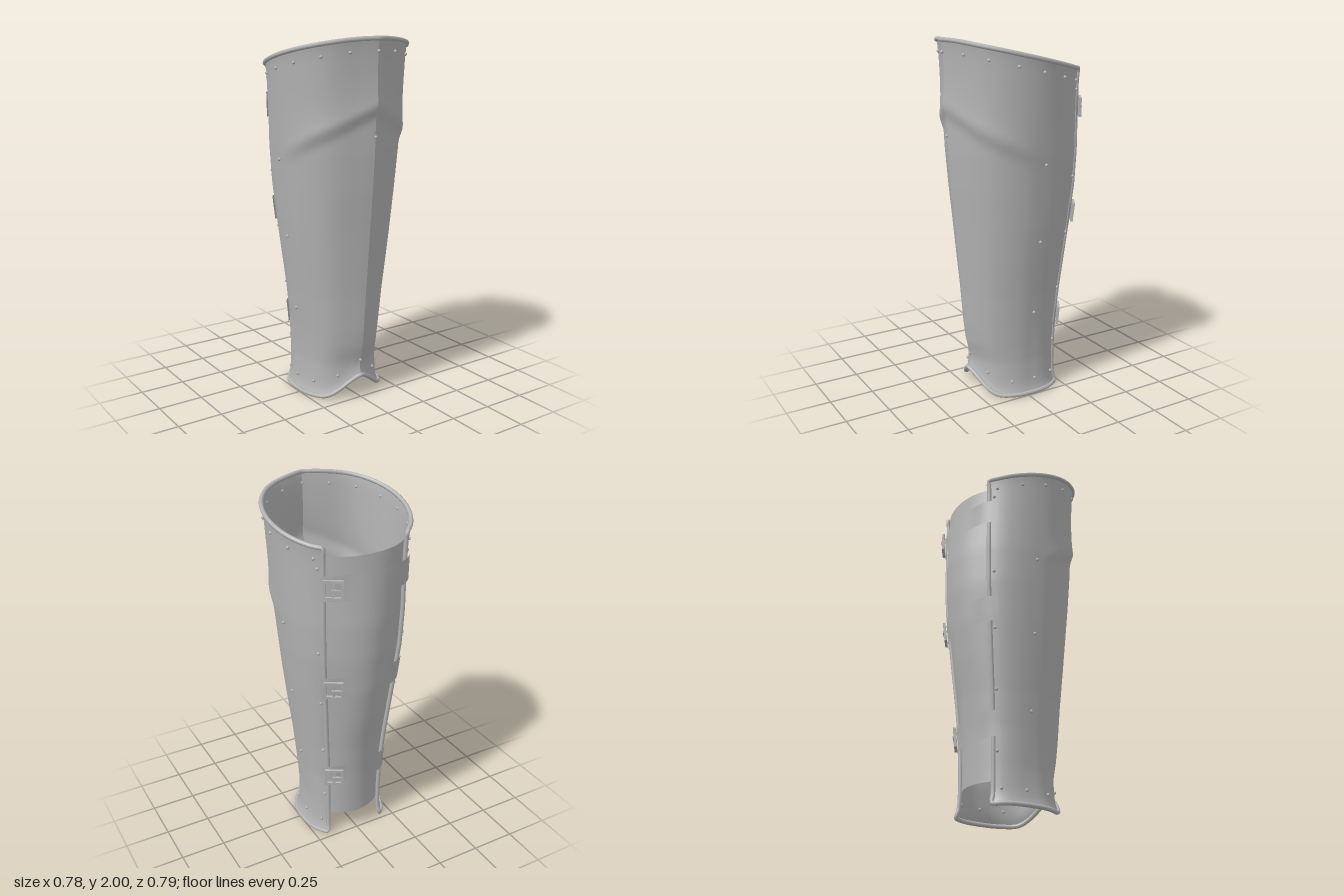
import * as THREE from 'three';

const EDGE = 2.46; // angle from the front where the shell ends at the back
const { lerp, smoothstep } = THREE.MathUtils;

// Height, then radius at front, side, back edge and back plate
const PROFILE = [
  [0.0, 0.235, 0.228, 0.264, 0.25],
  [0.2, 0.236, 0.222, 0.264, 0.255],
  [0.3, 0.262, 0.227, 0.267, 0.26],
  [0.4, 0.275, 0.235, 0.27, 0.266],
  [0.6, 0.29, 0.255, 0.29, 0.29],
  [0.8, 0.308, 0.28, 0.315, 0.328],
  [1.0, 0.325, 0.303, 0.34, 0.36],
  [1.2, 0.345, 0.322, 0.363, 0.38],
  [1.4, 0.36, 0.34, 0.373, 0.386],
  [1.6, 0.366, 0.354, 0.373, 0.372],
  [1.8, 0.372, 0.368, 0.375, 0.356],
  [2.0, 0.383, 0.378, 0.378, 0.35],
];

function radii(y) {
  let i = 0;
  while (i < PROFILE.length - 2 && y > PROFILE[i + 1][0]) i++;
  const a = PROFILE[i], b = PROFILE[i + 1];
  const t = THREE.MathUtils.clamp((y - a[0]) / (b[0] - a[0]), 0, 1);
  return a.slice(1).map((v, k) => lerp(v, b[k + 1], t));
}

// Sloping top edge, and bottom edge arched over the instep
const topY = (a) => 1.828 + 0.16 * (0.385 * Math.cos(a) + 0.295) / 0.68;
const bottomY = (a) => 0.013 + 0.122 * (1 - smoothstep(Math.abs(a), -0.15, 0.95)) / 0.95;

const polar = (a, y, r) => new THREE.Vector3(r * Math.sin(a), y, r * Math.cos(a));

// Shell radius: keel at the front, raised knee fold, flared rims
function shellRadius(angle, y) {
  const a = Math.abs(angle);
  const [front, side, back] = radii(y);
  let r = a < Math.PI / 2
    ? lerp(front, side, smoothstep(a, 0, 1.3))
    : lerp(side, back, smoothstep(a, Math.PI / 2, EDGE));
  const u = a / 0.32;
  r -= 0.05 * front * u * Math.exp((1 - u * u) / 2);
  const d = y - (1.66 - 0.165 * a);
  const fold = d > 0 ? Math.exp(-d / 0.1) : smoothstep(d, -0.09, 0);
  r += 0.018 * fold * (1 - smoothstep(a, 0.9, 1.7));
  r += 0.006 * Math.exp(-(topY(a) - y) / 0.04);
  r += 0.018 * Math.exp(-(y - bottomY(a)) / 0.035);
  return r;
}
const shellPoint = (a, y, lift = 0) => polar(a, y, shellRadius(a, y) + lift);

// Radius of the closing plate between the two back edges
function plateRadius(a, y) {
  const [, , back, plate] = radii(y);
  const off = Math.abs(Math.PI - a);
  return lerp(plate, back - 0.012, smoothstep(off, 0, Math.PI - EDGE));
}

// Surface through point(u, v), u running left and v running up
function patch(point, nu, nv) {
  const pos = [], index = [];
  for (let j = 0; j <= nv; j++)
    for (let i = 0; i <= nu; i++) pos.push(...point(i / nu, j / nv).toArray());
  for (let j = 0; j < nv; j++)
    for (let i = 0; i < nu; i++) {
      const a = j * (nu + 1) + i, b = a + 1, c = a + nu + 1, d = c + 1;
      index.push(a, b, d, a, d, c);
    }
  const g = new THREE.BufferGeometry();
  g.setAttribute('position', new THREE.Float32BufferAttribute(pos, 3));
  g.setIndex(index);
  g.computeVertexNormals();
  return g;
}

export function createModel() {
  const steel = new THREE.MeshStandardMaterial({ color: 0xb3b3b3, side: THREE.DoubleSide });
  steel.name = 'steel';
  const model = new THREE.Group();
  model.name = 'shinGuard';
  const add = (parent, name, geometry) => {
    const mesh = new THREE.Mesh(geometry, steel);
    mesh.name = name;
    parent.add(mesh);
    return mesh;
  };

  // Two shell halves meeting at a sharp front keel
  for (const [name, from, to] of [['rightShell', -EDGE, 0], ['leftShell', 0, EDGE]]) {
    add(model, name, patch((u, v) => {
      const a = lerp(from, to, u);
      return shellPoint(a, lerp(bottomY(a), topY(a), v));
    }, 30, 80));
  }

  // Rolled rim around the whole shell outline
  const outline = [];
  const N = 40;
  for (let i = 0; i < N; i++) {
    const a = lerp(-EDGE, EDGE, i / N);
    outline.push(shellPoint(a, topY(a)));
  }
  for (let i = 0; i < N; i++) outline.push(shellPoint(EDGE, lerp(topY(EDGE), bottomY(EDGE), i / N)));
  for (let i = 0; i < N; i++) {
    const a = lerp(EDGE, -EDGE, i / N);
    outline.push(shellPoint(a, bottomY(a)));
  }
  for (let i = 0; i < N; i++) outline.push(shellPoint(-EDGE, lerp(bottomY(EDGE), topY(EDGE), i / N)));
  add(model, 'rolledRim', new THREE.TubeGeometry(
    new THREE.CatmullRomCurve3(outline, true), 320, 0.012, 8, true));

  // Plate closing the back
  add(model, 'backPlate', patch((u, v) => {
    const a = lerp(EDGE - 0.06, 2 * Math.PI - EDGE + 0.06, u), y = lerp(0.13, 1.78, v);
    return polar(a, y, plateRadius(a, y));
  }, 20, 40));

  // Straps with buckles
  for (const y0 of [1.62, 1.035, 0.42]) {
    const strapRadius = (a, y) => {
      const b = Math.min(a, 2 * Math.PI - a);
      return b < EDGE ? shellRadius(b, y) + 0.013
        : Math.max(plateRadius(b, y) + 0.004, lerp(radii(y)[2] + 0.013, plateRadius(b, y) + 0.004, smoothstep(b, EDGE, 2.85)));
    };
    add(model, 'strap', patch((u, v) => {
      const a = lerp(2.3, 2 * Math.PI - 2.32, u), y = y0 + lerp(-0.068, 0.068, v);
      return polar(a, y, strapRadius(a, y));
    }, 24, 4));

    const buckle = new THREE.Group();
    buckle.name = 'buckle';
    const at = 2.59;
    buckle.position.copy(polar(at, y0, strapRadius(at, y0) + 0.014));
    const slope = (strapRadius(at, y0 + 0.06) - strapRadius(at, y0 - 0.06)) / 0.12;
    buckle.rotation.set(Math.atan(slope), at, 0, 'YXZ');
    for (const s of [-1, 1]) {
      add(buckle, 'buckleSide', new THREE.BoxGeometry(0.014, 0.104, 0.014)).position.x = s * 0.045;
      add(buckle, 'buckleEnd', new THREE.BoxGeometry(0.104, 0.014, 0.014)).position.y = s * 0.045;
    }
    add(buckle, 'buckleBar', new THREE.BoxGeometry(0.012, 0.09, 0.012));
    add(buckle, 'bucklePin', new THREE.BoxGeometry(0.06, 0.01, 0.01)).position.set(0.02, 0, 0.006);
    model.add(buckle);
  }

  // Rivets, mirrored about the keel
  const rivet = new THREE.SphereGeometry(0.009, 8, 6);
  const spots = [[0, 1.49], [0, 0.22]];
  for (const a of [0, 0.4, 0.8, 1.2, 1.57, 1.95, 2.33]) spots.push([a, topY(a) - 0.063]);
  for (const y of [1.35, 0.92, 0.5]) spots.push([1.69, y]);
  for (const y of [1.72, 1.25, 0.93, 0.6, 0.28]) spots.push([2.38, y]);
  for (const [a, y] of [[0.55, 0.135], [1.17, 0.09], [1.78, 0.09], [2.3, 0.09]]) spots.push([a, y]);
  for (const [a, y] of spots)
    for (const s of a ? [-1, 1] : [1])
      add(model, 'rivet', rivet).position.copy(shellPoint(s * a, y, 0.003));

  return model;
}
